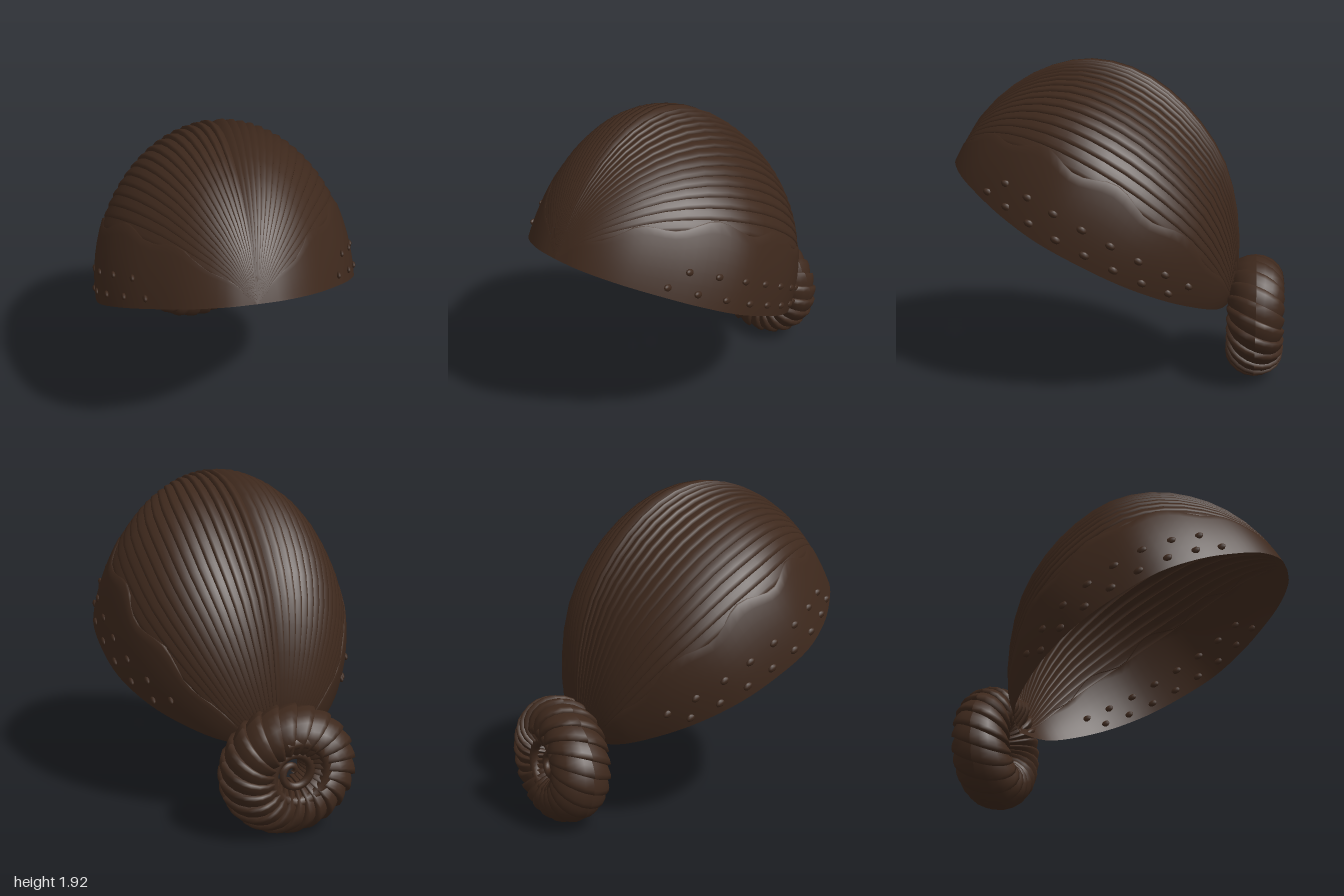
import * as THREE from 'three';
import { mergeGeometries } from 'three/addons/utils/BufferGeometryUtils.js';

const hair = new THREE.MeshStandardMaterial({ color: 0x3d281c, side: THREE.DoubleSide });

// Grid surface from a rule point(u, v), with u taken from a list and v in even steps
function sheet(us, steps, point) {
  const pos = [], index = [], n = us.length;
  for (let j = 0; j <= steps; j++) us.forEach((u) => pos.push(...point(u, j / steps)));
  for (let j = 0; j < steps; j++) {
    for (let i = 0; i < n - 1; i++) {
      const a = j * n + i, b = a + n;
      index.push(a, a + 1, b, b, a + 1, b + 1);
    }
  }
  const g = new THREE.BufferGeometry();
  g.setAttribute('position', new THREE.Float32BufferAttribute(pos, 3));
  g.setIndex(index);
  g.computeVertexNormals();
  return g;
}

// Shingled lock: rises slowly across its width, then drops at the edge
const LOCK = [0, 0.3, 0.65, 0.93, 1];
const lift = (u) => (u > 0.94 ? 0 : Math.sin(Math.min(u / 0.93, 1) * Math.PI / 2));

// Cap profile along the tilted axis: distance, height above it, half width
const profile = new THREE.CatmullRomCurve3([
  [0, 0, 0], [0.08, 0.24, 0.27], [0.235, 0.5, 0.46], [0.444, 0.727, 0.62],
  [0.688, 0.871, 0.725], [0.944, 0.953, 0.76], [1.2, 0.967, 0.745], [1.435, 0.9, 0.64],
  [1.63, 0.755, 0.49], [1.775, 0.556, 0.34], [1.87, 0.3, 0.16], [1.89, 0, 0],
].map((p) => new THREE.Vector3(...p)));

// Point on the cap: angle from the crown line, t from nape to forehead
function capPoint(angle, t, raise = 0) {
  const p = profile.getPoint(t);
  const k = 1 + raise;
  const h = p.y * Math.cos(angle) * k, w = p.z * Math.sin(angle) * k;
  return [w, 0.45 + 0.46 * p.x + 0.888 * h, -0.68 + 0.888 * p.x - 0.46 * h];
}

function mesh(name, geometry) {
  const m = new THREE.Mesh(geometry, hair);
  m.name = name;
  return m;
}

function createCap() {
  const cap = new THREE.Group();
  cap.name = 'cap';
  const bandAngle = THREE.MathUtils.degToRad(64), locks = 15;
  for (const side of [1, -1]) {
    const label = side > 0 ? 'left' : 'right';
    // Combed locks from the crown line down to the side band
    const parts = [];
    for (let i = 0; i < locks; i++) {
      const size = 0.024 * (1 - 0.6 * i / locks);
      parts.push(sheet(LOCK, 22, (u, t) =>
        capPoint(side * bandAngle * (i + u) / locks, t, size * (lift(u) - 0.5))));
    }
    cap.add(mesh(label + 'Locks', mergeGeometries(parts)));

    // Smooth side band with a wavy upper edge
    const us = [0, 0.03, 0.15, 0.3, 0.45, 0.6, 0.75, 0.9, 1];
    cap.add(mesh(label + 'SideBand', sheet(us, 44, (u, t) => {
      const wave = 0.035 * Math.sin(t * 38) * (1 - u);
      const angle = bandAngle - 0.04 + wave + (Math.PI / 2 - bandAngle + 0.04 - wave) * u;
      return capPoint(side * angle, t, u === 0 ? -0.012 : 0.012 * (1 - u));
    })));

    // Two rows of small tufts above the hairline
    const tufts = [];
    for (const [deg, offset] of [[79, 0], [86, 0.035]]) {
      for (let i = 0; i < 8; i++) {
        const g = new THREE.IcosahedronGeometry(0.026, 1);
        g.scale(0.55, 0.8, 1.2);
        g.rotateX(-0.48);
        g.translate(...capPoint(side * THREE.MathUtils.degToRad(deg), 0.23 + offset + i * 0.062));
        tufts.push(g);
      }
    }
    cap.add(mesh(label + 'Tufts', mergeGeometries(tufts)));
  }
  return cap;
}

function createBun() {
  const bun = new THREE.Group();
  bun.name = 'bun';
  bun.position.set(0, 0.365, -0.825);

  // Twisted locks wrapped around a ring
  const count = 22, twist = 4, parts = [];
  for (let i = 0; i < count; i++) {
    parts.push(sheet(LOCK, 20, (u, v) => {
      const phi = v * Math.PI * 2;
      const a = (i + u + twist * v) / count * Math.PI * 2;
      const r = 0.143 + 0.02 * lift(u);
      const R = 0.243 + r * Math.cos(phi);
      return [R * Math.cos(a), 0.91 * R * Math.sin(a), 1.06 * r * Math.sin(phi)];
    }));
  }
  bun.add(mesh('twistedRing', mergeGeometries(parts)));

  // Tapering tail coiled into the ring from the back
  const around = Array.from({ length: 9 }, (_, i) => i / 8);
  bun.add(mesh('coiledTail', sheet(around, 80, (u, t) => {
    const a = 1.2 + t * Math.PI * 2 * 2.4, phi = u * Math.PI * 2;
    const r = 0.036 - 0.02 * t;
    const R = 0.19 * (1 - t) + 0.012 + r * Math.cos(phi);
    return [R * Math.cos(a), R * Math.sin(a), -0.135 + 0.09 * t + r * Math.sin(phi)];
  })));

  // Lock ends tucked through the nape
  const ends = [];
  for (let i = 0; i < 4; i++) {
    const x = -0.16 + i * 0.055;
    const path = new THREE.QuadraticBezierCurve3(
      new THREE.Vector3(x - 0.04, 0.12, 0.13),
      new THREE.Vector3(x, 0.24 + i * 0.02, 0.23),
      new THREE.Vector3(x + 0.05, 0.24 + i * 0.01, 0.08));
    ends.push(new THREE.TubeGeometry(path, 8, 0.032, 6));
  }
  bun.add(mesh('tuckedEnds', mergeGeometries(ends)));
  return bun;
}

export function createModel() {
  const model = new THREE.Group();
  model.name = 'hairWithBun';
  model.add(createCap(), createBun());
  return model;
}
